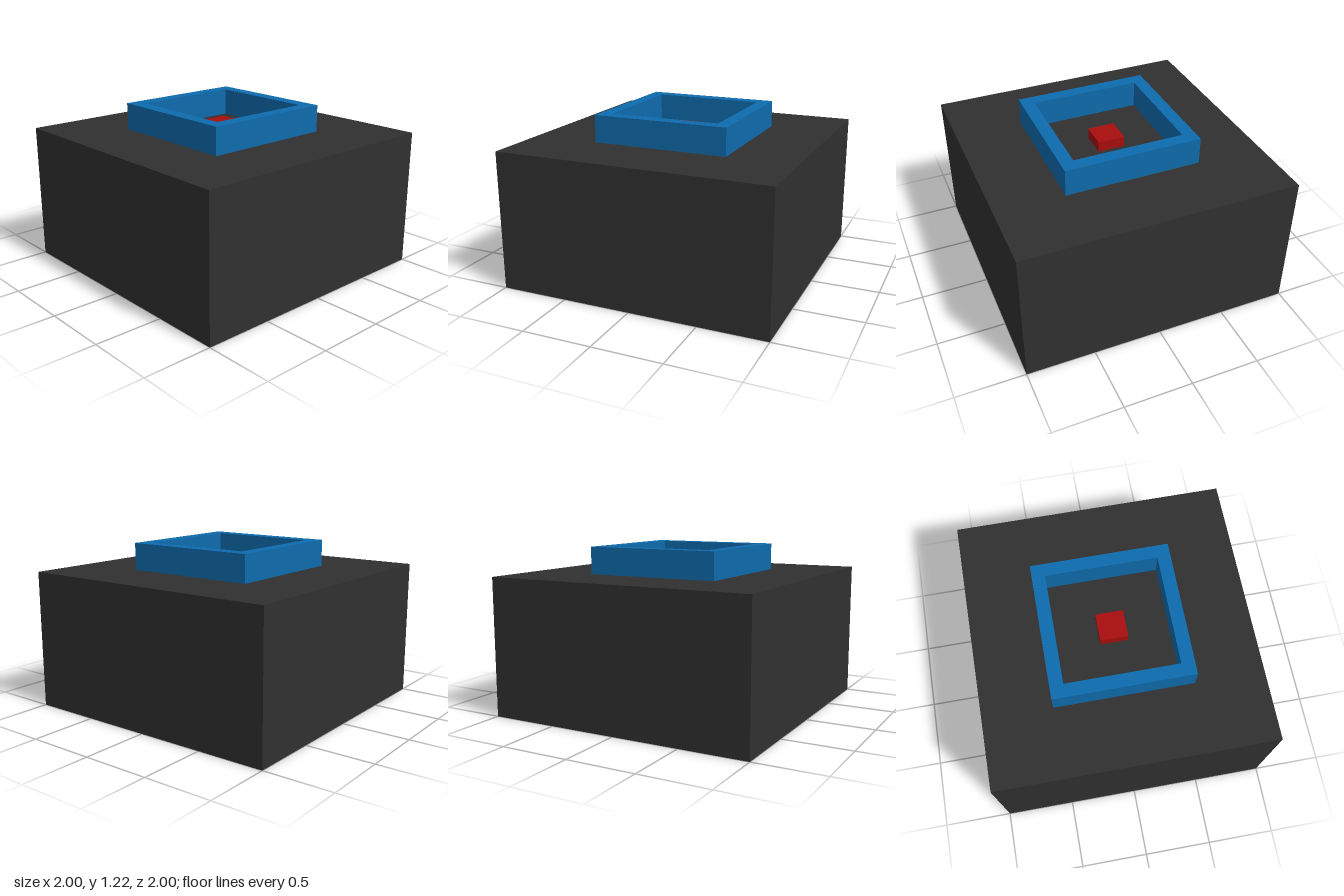
import * as THREE from 'three';

const material = (name, color) => {
  const m = new THREE.MeshStandardMaterial({ color });
  m.name = name;
  return m;
};

export function createModel() {
  const model = new THREE.Group();
  model.name = 'pedestalWithFrame';

  const charcoal = material('charcoal', 0x303030);
  const blue = material('blue', 0x0e6bad);
  const red = material('red', 0xa80e0e);

  const add = (name, geometry, mat, y) => {
    const mesh = new THREE.Mesh(geometry, mat);
    mesh.name = name;
    mesh.position.y = y;
    model.add(mesh);
  };

  const square = (Type, half) => new Type([
    new THREE.Vector2(-half, -half), new THREE.Vector2(half, -half),
    new THREE.Vector2(half, half), new THREE.Vector2(-half, half),
  ]);

  const baseHeight = 1.02;

  // Large square base
  add('base', new THREE.BoxGeometry(2, baseHeight, 2), charcoal, baseHeight / 2);

  // Open square frame standing on the base
  const outline = square(THREE.Shape, 0.5);
  outline.holes.push(square(THREE.Path, 0.405));
  const frame = new THREE.ExtrudeGeometry(outline, { depth: 0.2, bevelEnabled: false });
  frame.rotateX(-Math.PI / 2);
  add('frame', frame, blue, baseHeight);

  // Small button in the middle of the frame
  add('button', new THREE.BoxGeometry(0.2, 0.08, 0.2), red, baseHeight + 0.04);

  return model;
}
